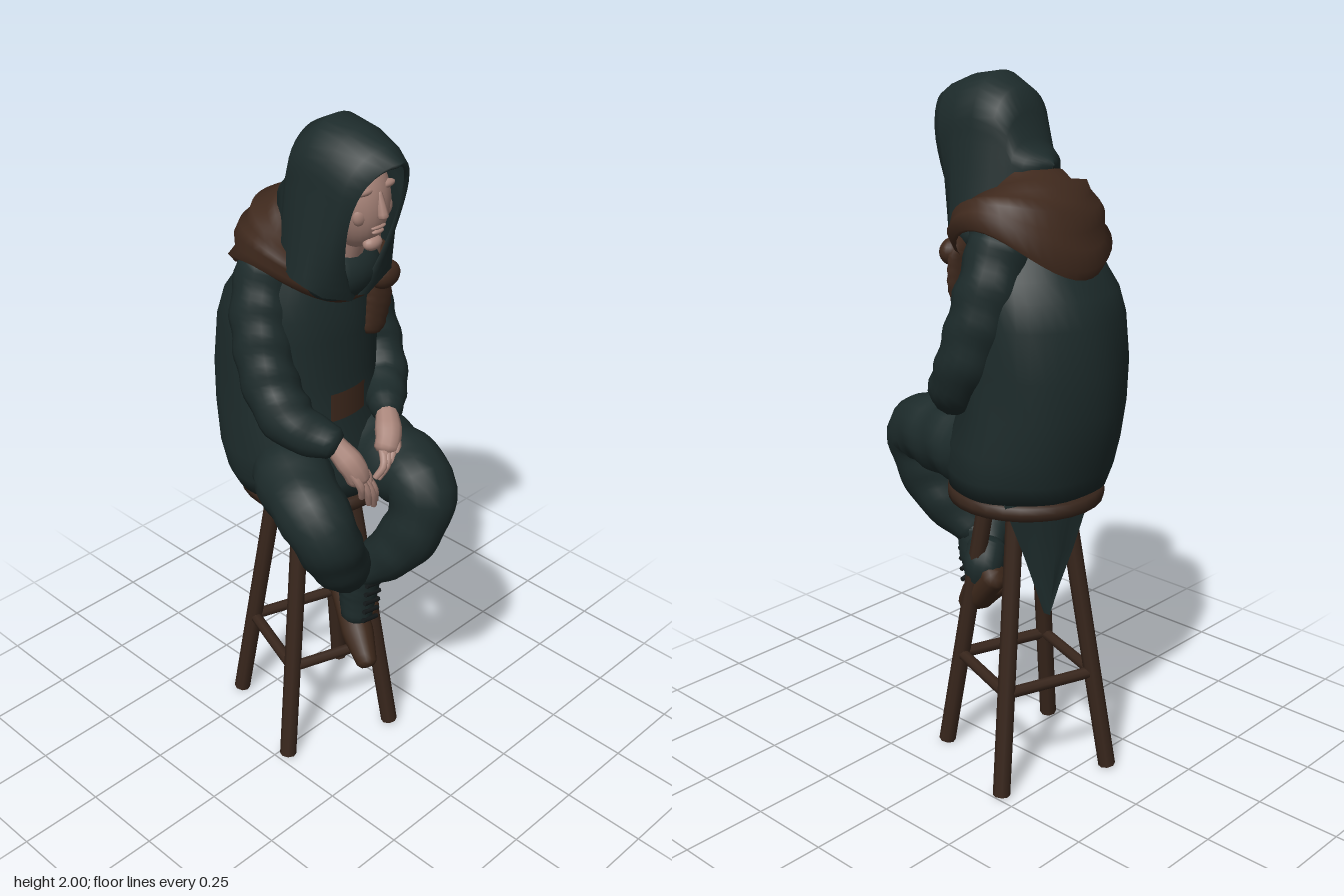
import * as THREE from 'three';

const V = (x, y, z) => new THREE.Vector3(x, y, z);
const mat = (name, color, double) => {
  const m = new THREE.MeshStandardMaterial({ color });
  m.name = name;
  if (double) m.side = THREE.DoubleSide;
  return m;
};
const mix = (a, b, t) => a + (b - a) * t;

// Skin a list of rings; closed rings wrap around
function loft(rings, closed = true) {
  const n = rings[0].length, pos = [], idx = [];
  rings.forEach(r => r.forEach(p => pos.push(p.x, p.y, p.z)));
  for (let i = 0; i < rings.length - 1; i++) {
    for (let j = 0; j < (closed ? n : n - 1); j++) {
      const k = (j + 1) % n, a = i * n + j, b = i * n + k, c = a + n, d = b + n;
      idx.push(a, b, c, b, d, c);
    }
  }
  const g = new THREE.BufferGeometry();
  g.setAttribute('position', new THREE.Float32BufferAttribute(pos, 3));
  g.setIndex(idx);
  g.computeVertexNormals();
  return g;
}

// Tapered tube with rounded ends; fold adds soft cloth wrinkles
function limb(points, radii, sides = 12, fold = 0, steps = 24) {
  const curve = new THREE.CatmullRomCurve3(points.map(p => V(...p)));
  const f = curve.computeFrenetFrames(steps);
  const rings = [];
  const ring = (i, r, push) => {
    const t = i / steps, c = curve.getPointAt(t).addScaledVector(curve.getTangentAt(t), push);
    const out = [];
    for (let j = 0; j < sides; j++) {
      const a = j / sides * Math.PI * 2;
      const q = r * (1 + fold * Math.sin(t * 38 + 1.5 * Math.sin(a * 2)));
      out.push(c.clone().addScaledVector(f.normals[i], q * Math.cos(a)).addScaledVector(f.binormals[i], q * Math.sin(a)));
    }
    rings.push(out);
  };
  const at = t => {
    const s = t * (radii.length - 1), k = Math.min(Math.floor(s), radii.length - 2);
    return mix(radii[k], radii[k + 1], s - k);
  };
  ring(0, 0.0005, -at(0) * 0.45);
  ring(0, at(0) * 0.7, -at(0) * 0.32);
  for (let i = 0; i <= steps; i++) ring(i, at(i / steps), 0);
  ring(steps, at(1) * 0.7, at(1) * 0.32);
  ring(steps, 0.0005, at(1) * 0.45);
  return loft(rings);
}

export function createModel() {
  const root = new THREE.Group();
  root.name = 'seatedFigureOnStool';
  const cloth = mat('dark teal cloth', 0x1d2b2b, true);
  const scarfMat = mat('brown scarf', 0x3f291d, true);
  const skin = mat('skin', 0xa9857a);
  const wood = mat('stool wood', 0x38261c);
  const leather = mat('boot leather', 0x3d281b);
  const lace = mat('dark laces', 0x14191a);

  const add = (name, geo, m, parent = root) => {
    const mesh = new THREE.Mesh(geo, m);
    mesh.name = name;
    parent.add(mesh);
    return mesh;
  };
  const group = name => {
    const g = new THREE.Group();
    g.name = name;
    root.add(g);
    return g;
  };
  const rod = (name, a, b, r, sides, m, parent) => {
    const mesh = add(name, new THREE.CylinderGeometry(r, r, a.distanceTo(b), sides), m, parent);
    mesh.position.copy(a).lerp(b, 0.5);
    mesh.quaternion.setFromUnitVectors(V(0, 1, 0), b.clone().sub(a).normalize());
  };
  const ball = (name, p, s, m, parent) => {
    const mesh = add(name, new THREE.SphereGeometry(1, 20, 14), m, parent);
    mesh.position.set(...p);
    mesh.scale.set(...s);
  };

  // Stool: round seat, four splayed legs, a square of rungs
  const stool = group('stool');
  const rim = [[0, 0.845], [0.2, 0.845], [0.217, 0.852], [0.22, 0.87], [0.217, 0.888], [0.2, 0.895], [0, 0.895]];
  const seat = add('seat', new THREE.LatheGeometry(rim.map(p => new THREE.Vector2(...p)), 28), wood, stool);
  seat.position.set(0.033, 0, -0.103);
  const legAt = (i, y) => {
    const a = Math.atan2(-0.11, 0.225) + i * Math.PI / 2, r = mix(0.25, 0.11, y / 0.86);
    return V(mix(0.006, 0.018, y) + r * Math.cos(a), y, -0.083 - 0.008 * y + r * Math.sin(a));
  };
  for (let i = 0; i < 4; i++) {
    rod('stoolLeg', legAt(i, 0.003), legAt(i, 0.86), 0.025, 8, wood, stool);
    rod('rung', legAt(i, 0.305), legAt(i + 1, 0.305), 0.017, 8, wood, stool);
  }

  // Coat body as stacked ellipses [y, cx, cz, rx, rz] with soft folds
  const body = [[0.895, 0.02, -0.11, 0.01, 0.01], [0.897, 0.025, -0.105, 0.23, 0.21], [0.95, 0.02, -0.112, 0.25, 0.218],
    [1.03, 0.02, -0.13, 0.257, 0.22], [1.13, 0.015, -0.15, 0.24, 0.218], [1.25, 0.02, -0.158, 0.24, 0.215],
    [1.38, 0.02, -0.15, 0.232, 0.212], [1.45, 0.02, -0.14, 0.222, 0.2], [1.5, 0.02, -0.125, 0.205, 0.18],
    [1.6, 0.02, -0.1, 0.165, 0.15], [1.69, 0.015, -0.075, 0.11, 0.1], [1.74, 0.01, -0.05, 0.07, 0.07]];
  add('coat', loft(body.map(([y, cx, cz, rx, rz]) => Array.from({ length: 40 }, (_, j) => {
    const a = j / 40 * Math.PI * 2, w = 1 + 0.012 * Math.sin(a * 7 + y * 9);
    return V(cx + rx * w * Math.sin(a), y, cz + rz * w * Math.cos(a));
  }))), cloth);

  // Coat tail hanging behind the seat
  const tail = [[0.9, -0.01, 0.23], [0.84, 0.01, 0.21], [0.74, 0.045, 0.175], [0.64, 0.09, 0.145], [0.56, 0.118, 0.122]];
  const tailRows = tail.map(([y, x0, x1]) => [0, 0.25, 0.5, 0.75, 1].map(t => {
    const z = -0.305 + 0.1 * (0.9 - y) + 0.25 * t * t * (y - 0.5) + 0.008 * Math.sin(t * 9);
    return V(mix(x0, x1, t), y, z);
  }));
  add('coatTail', loft(tailRows, false), cloth);

  // Sleeves, trousers
  add('leftSleeve', limb([[0.16, 1.59, -0.13], [0.2, 1.45, -0.12], [0.228, 1.25, -0.06], [0.185, 1.165, 0.02], [0.09, 1.15, 0.125]],
    [0.085, 0.092, 0.085, 0.076, 0.048], 16, 0.04, 32), cloth);
  add('rightSleeve', limb([[-0.12, 1.58, -0.12], [-0.155, 1.46, -0.11], [-0.19, 1.27, -0.04], [-0.185, 1.18, 0.04], [-0.135, 1.14, 0.14]],
    [0.08, 0.085, 0.08, 0.076, 0.048], 16, 0.04, 32), cloth);
  add('leftTrouser', limb([[0.14, 0.99, -0.1], [0.11, 0.985, 0.1], [0.08, 0.965, 0.272], [0.055, 0.85, 0.275], [0.025, 0.74, 0.215], [-0.01, 0.66, 0.14]],
    [0.1, 0.115, 0.108, 0.09, 0.083, 0.056], 18, 0.03, 36), cloth);
  add('rightTrouser', limb([[-0.1, 0.99, -0.1], [-0.19, 0.985, 0.06], [-0.22, 0.93, 0.17], [-0.17, 0.81, 0.18], [-0.09, 0.71, 0.14], [0.0, 0.63, 0.07]],
    [0.1, 0.11, 0.1, 0.088, 0.078, 0.045], 18, 0.03, 36), cloth);

  // Boots hanging with crossed ankles: leather shoe and cloth shaft
  const boot = (name, heel, toe, shaft) => {
    const g = group(name);
    const mid = heel.map((h, i) => mix(h, toe[i], 0.5));
    add('shoe', limb([heel, mid, toe], [0.042, 0.044, 0.048, 0.03], 12, 0, 14), leather, g);
    add('bootShaft', limb(shaft, [0.058, 0.06, 0.046], 14, 0.015, 14), cloth, g);
  };
  boot('leftBoot', [0.035, 0.55, 0.0], [-0.067, 0.382, 0.212], [[-0.012, 0.68, 0.14], [-0.012, 0.58, 0.122], [-0.022, 0.49, 0.125]]);
  boot('rightBoot', [0.06, 0.58, -0.01], [0.055, 0.45, 0.11], [[0.02, 0.64, 0.06], [0.05, 0.6, 0.045], [0.055, 0.54, 0.055]]);
  for (let i = 0; i < 5; i++) {
    const y = 0.635 - i * 0.033, z = 0.184 - i * 0.003;
    rod('bootLace', V(-0.045, y, z), V(0.015, y - 0.012, z), 0.007, 6, lace);
  }

  // Hands: palm, four fingers and thumb
  const hand = (name, wrist, palm, tip, side) => {
    const g = group(name);
    add('palm', limb([wrist, palm, palm.map((p, i) => mix(p, tip[i], 0.3))], [0.03, 0.038, 0.034], 10, 0, 10), skin, g);
    for (let i = 0; i < 4; i++) {
      const o = (i - 1.5) * 0.017, len = [0.85, 1, 0.97, 0.8][i];
      const p = [0, 0.55, 1].map(t => [mix(palm[0], tip[0], t * len) + o * side, mix(palm[1], tip[1], t * len) + o * 0.5,
        mix(palm[2], tip[2], t * len) + 0.022 * Math.sin(t * 3)]);
      add('finger', limb(p, [0.013, 0.012, 0.009], 8, 0, 8), skin, g);
    }
    add('thumb', limb([palm, [palm[0] - side * 0.035, palm[1] - 0.03, palm[2] + 0.02], [palm[0] - side * 0.03, palm[1] - 0.07, palm[2] + 0.03]],
      [0.016, 0.013, 0.01], 8, 0, 8), skin, g);
  };
  hand('leftHand', [0.09, 1.145, 0.125], [0.045, 1.095, 0.175], [-0.015, 1.01, 0.2], 1);
  hand('rightHand', [-0.135, 1.14, 0.14], [-0.115, 1.08, 0.195], [-0.07, 0.95, 0.22], -1);

  // Head: face narrowing to the chin, with simple features
  const head = group('head');
  head.position.z = 0.008;
  const skull = new THREE.SphereGeometry(1, 28, 22), sp = skull.attributes.position;
  for (let i = 0; i < sp.count; i++) {
    const y = sp.getY(i), k = y < 0 ? 1 + 0.22 * y : 1;
    sp.setXYZ(i, sp.getX(i) * 0.094 * k, y * 0.132, sp.getZ(i) * 0.1 * (y < 0 ? 1 - 0.05 * y : 1));
  }
  skull.computeVertexNormals();
  add('face', skull, skin, head).position.set(-0.008, 1.792, 0.075);
  add('nose', limb([[-0.008, 1.83, 0.163], [-0.008, 1.79, 0.175], [-0.008, 1.768, 0.18]], [0.009, 0.012, 0.015], 8, 0, 8), skin, head);
  for (const s of [-1, 1]) {
    ball('brow', [-0.008 + s * 0.037, 1.838, 0.152], [0.032, 0.011, 0.014], skin, head);
    ball('cheek', [-0.008 + s * 0.043, 1.775, 0.142], [0.026, 0.03, 0.018], skin, head);
  }
  ball('upperLip', [-0.008, 1.738, 0.165], [0.026, 0.006, 0.009], skin, head);
  ball('lowerLip', [-0.008, 1.725, 0.163], [0.021, 0.007, 0.009], skin, head);
  ball('chin', [-0.008, 1.688, 0.145], [0.03, 0.02, 0.02], skin, head);
  rod('neck', V(0, 1.54, 0.0), V(-0.005, 1.73, 0.06), 0.058, 14, skin, head);

  // Cloth collar gathered under the chin
  ball('collar', [-0.005, 1.575, 0.045], [0.125, 0.075, 0.075], cloth);

  // Hood slices, front to back: [top y, top z, half width, flare, bottom y, bottom z]
  const hood = [[1.91, 0.235, 0.094, -1.9, 1.52, 0.1], [1.925, 0.248, 0.1, -1.4, 1.52, 0.113], [1.955, 0.2, 0.114, 0.25, 1.56, 0.105],
    [1.985, 0.12, 0.122, 0.65, 1.59, 0.07], [2.0, 0.03, 0.122, 0.65, 1.6, 0.02], [1.965, -0.04, 0.11, 0.55, 1.62, -0.04],
    [1.9, -0.068, 0.09, 0.45, 1.64, -0.07], [1.835, -0.085, 0.085, 0.3, 1.66, -0.085], [1.805, -0.12, 0.075, 0.2, 1.68, -0.11],
    [1.785, -0.15, 0.035, 0, 1.7, -0.13], [1.77, -0.16, 0.001, 0, 1.72, -0.14]];
  const hoodRows = hood.map(([ty, tz, w, flare, by, bz]) => Array.from({ length: 33 }, (_, j) => {
    const u = j / 16 - 1, a = Math.abs(u), d = Math.max(a - 0.5, 0);
    const x = w * (d === 0 ? Math.sin(Math.PI * a) : 1 + flare * (flare < 0 ? 2 * d * d : d));
    const f = d === 0 ? 0.35 * (1 - Math.cos(Math.PI * a)) : 0.35 + 1.3 * d;
    return V(-0.01 + Math.sign(u) * x, ty - (ty - by) * f, mix(tz, bz, Math.pow(f, 0.55)));
  }));
  add('hood', loft(hoodRows, false), cloth);

  // Scarf draped around the shoulders, from its lower hem up to the neck
  const wrap = [1.06, 1, 0.88, 0.76, 0.64, 0.52, 0.4, 0.28, 0.15, 0];
  const scarfRows = wrap.map((v, i) => Array.from({ length: 40 }, (_, j) => {
    const a = j / 40 * Math.PI * 2, c = Math.cos(a), s = Math.sin(a);
    const bulge = i ? Math.sin(Math.PI * v) * (0.045 - 0.012 * c) : -0.03;
    const fold = i ? 0.007 * Math.sin(v * 22 + 2 * s) : 0;
    const low = 1.565 - 0.01 * c - 0.055 * Math.cos(2 * a) + 0.02 * s, high = 1.66 - 0.11 * c;
    const r = bulge * 0.7 + fold;
    return V(mix(0.01, 0.035, v) + (mix(0.1, 0.225, v) + r) * s, mix(high, low, v) + (i ? bulge + fold : -0.01),
      mix(-0.02, -0.116, v) + (mix(0.085, 0.2, v) + r) * c);
  }));
  add('scarf', loft(scarfRows), scarfMat);
  ball('scarfKnot', [0.125, 1.53, 0.075], [0.05, 0.04, 0.035], scarfMat);
  const end = add('scarfEnd', limb([[0.13, 1.53, 0], [0.125, 1.45, 0], [0.105, 1.37, 0]], [0.04, 0.048, 0.042], 12, 0.05, 12), scarfMat);
  end.scale.z = 0.4;
  end.position.z = 0.055;

  // Leather pouch at the waist
  const pouch = add('waistPouch', new THREE.CylinderGeometry(0.22, 0.22, 0.085, 10, 1, true, -0.3, 0.6), scarfMat);
  pouch.position.set(0, 1.185, -0.148);
  return root;
}
